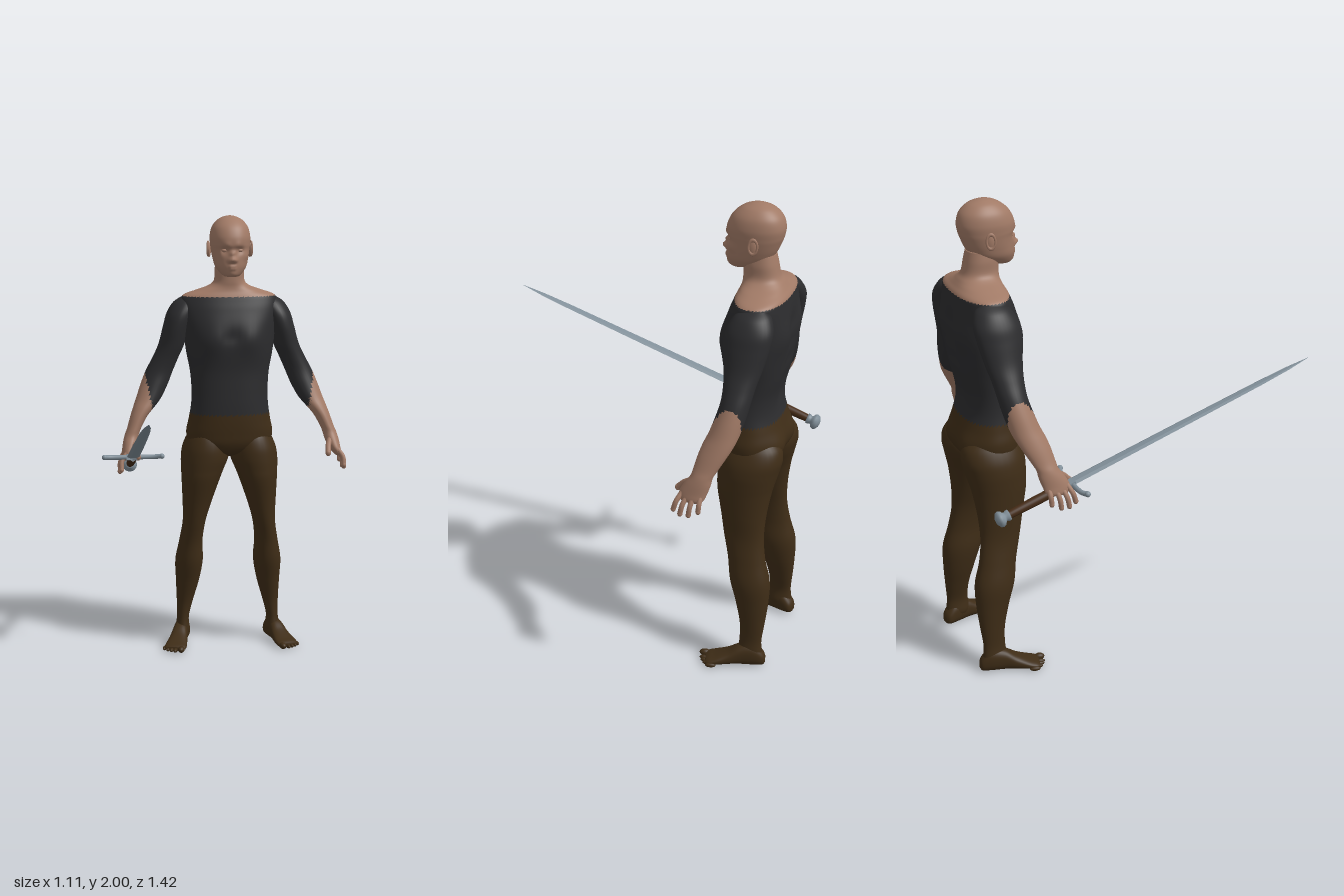
import * as THREE from 'three';

const CX = 0.035; // body's plane of symmetry
const mat = (name, color) => Object.assign(new THREE.MeshStandardMaterial({ color }), { name });

// Smooth skin over elliptical cross-sections. Rows are [t, a0, a1, b0, b1]; map turns (a, t, b) into x, y, z.
// Bumps are [x, y, z, radius, dx, dy, dz]; pick chooses a material index for each face.
function loft(rows, { seg = 32, sub = 6, n = 2, map = (a, t, b) => [a, t, b], bumps = [], pick = () => 0 } = {}) {
  const rings = [];
  const cr = (p, q, r, s, u) =>
    0.5 * (2 * q + (r - p) * u + (2 * p - 5 * q + 4 * r - s) * u * u + (3 * q - p - 3 * r + s) * u * u * u);
  for (let i = 0; i < rows.length - 1; i++) {
    const [p, q, r, s] = [-1, 0, 1, 2].map((k) => rows[Math.min(Math.max(i + k, 0), rows.length - 1)]);
    for (let j = 0; j < sub; j++) rings.push(q.map((_, k) => cr(p[k], q[k], r[k], s[k], j / sub)));
  }
  rings.push(rows[rows.length - 1]);
  const pts = [];
  const pw = (v) => Math.sign(v) * Math.abs(v) ** (2 / n);
  const add = (a, t, b) => {
    const o = map(a, t, b), v = [...o];
    for (const [x, y, z, r, ...d] of bumps) {
      const w = Math.exp(-((o[0] - x) ** 2 + (o[1] - y) ** 2 + (o[2] - z) ** 2) / (r * r));
      for (let k = 0; k < 3; k++) v[k] += w * d[k];
    }
    pts.push(v);
  };
  for (const [t, a0, a1, b0, b1] of rings)
    for (let k = 0; k < seg; k++) {
      const w = (k / seg) * Math.PI * 2;
      add((a0 + a1) / 2 + ((a1 - a0) / 2) * pw(Math.cos(w)), t, (b0 + b1) / 2 + ((b1 - b0) / 2) * pw(Math.sin(w)));
    }
  const ends = [rings[0], rings[rings.length - 1]];
  for (const [t, a0, a1, b0, b1] of ends) add((a0 + a1) / 2, t, (b0 + b1) / 2);
  const faces = [], N = rings.length * seg, last = N - seg;
  for (let k = 0; k < seg; k++) {
    const m = (k + 1) % seg;
    for (let i = 0; i < rings.length - 1; i++) {
      const a = i * seg + k, b = i * seg + m;
      faces.push([a, a + seg, b], [b, a + seg, b + seg]);
    }
    faces.push([N, k, m], [N + 1, last + m, last + k]);
  }
  // Turn the faces outward
  const V = pts.map((p) => new THREE.Vector3(...p)), c = V[N];
  let vol = 0;
  for (const [a, b, d] of faces)
    vol += V[a].clone().sub(c).dot(V[b].clone().sub(c).cross(V[d].clone().sub(c)));
  const groups = [[], [], []];
  for (const [a, b, d] of faces) {
    const mid = V[a].clone().add(V[b]).add(V[d]).divideScalar(3);
    groups[pick(mid.x, mid.y, mid.z)].push(...(vol < 0 ? [a, d, b] : [a, b, d]));
  }
  const g = new THREE.BufferGeometry().setFromPoints(V);
  g.setIndex(groups.flat());
  let start = 0;
  groups.forEach((l, i) => { if (l.length) g.addGroup(start, l.length, i); start += l.length; });
  g.computeVertexNormals();
  return g;
}

export function createModel() {
  const model = new THREE.Group();
  const skin = mat('skin', 0xa17a66), shirt = mat('shirt', 0x2c2c2e), trousers = mat('trousers', 0x3f2d17);
  const steel = mat('steel', 0x82909a), leather = mat('leather', 0x452b16);
  const cloth = [skin, shirt, trousers];
  const part = (parent, name, geo, material) => {
    const m = new THREE.Mesh(geo, material);
    m.name = name;
    parent.add(m);
    return m;
  };
  const both = (list) => list.flatMap(([x, ...r]) => [[CX + x, ...r], [CX - x, ...r]]);
  const ball = (parent, name, material, p, scale) => {
    const m = part(parent, name, new THREE.SphereGeometry(1, 20, 14), material);
    m.position.set(...p);
    m.scale.set(...scale);
    return m;
  };
  const centred = (rows) => rows.map(([y, w, zb, zf]) => [y, CX - w, CX + w, zb, zf]);

  // Torso and neck
  part(model, 'torso', loft(centred([
    [0.905, 0.04, -0.61, -0.53], [0.93, 0.12, -0.66, -0.47], [0.97, 0.185, -0.68, -0.445], [1.02, 0.198, -0.685, -0.437],
    [1.08, 0.187, -0.675, -0.432], [1.15, 0.176, -0.66, -0.43], [1.22, 0.174, -0.662, -0.43], [1.3, 0.18, -0.68, -0.43],
    [1.38, 0.195, -0.692, -0.425], [1.45, 0.205, -0.697, -0.427], [1.52, 0.213, -0.695, -0.433], [1.58, 0.222, -0.69, -0.45],
    [1.62, 0.22, -0.685, -0.465], [1.645, 0.205, -0.68, -0.475], [1.665, 0.15, -0.665, -0.483], [1.685, 0.095, -0.65, -0.486],
    [1.71, 0.069, -0.632, -0.485], [1.76, 0.066, -0.62, -0.485], [1.8, 0.06, -0.61, -0.49],
  ]), {
    seg: 56, n: 2.3,
    bumps: [
      ...both([[0.085, 1.45, -0.43, 0.065, 0, 0, 0.017], [0.1, 1.5, -0.69, 0.07, 0, 0, -0.014], [0.09, 0.99, -0.68, 0.07, 0, 0, -0.022]]),
      ...[1.2, 1.28, 1.36, 1.44, 1.52].map((y) => [CX, y, -0.69, 0.045, 0, 0, 0.012]),
      [CX, 1.46, -0.43, 0.03, 0, 0, -0.008],
    ],
    pick: (x, y) => (y > 1.64 ? 0 : y > 1.11 ? 1 : 2),
  }), cloth);

  // Head with modelled face
  const head = new THREE.Group();
  head.name = 'head';
  model.add(head);
  part(head, 'skullAndFace', loft(centred([
    [1.733, 0.03, -0.5, -0.43], [1.745, 0.047, -0.54, -0.42], [1.775, 0.069, -0.59, -0.413], [1.81, 0.079, -0.615, -0.414],
    [1.85, 0.086, -0.632, -0.416], [1.875, 0.089, -0.64, -0.411], [1.91, 0.09, -0.644, -0.414], [1.95, 0.08, -0.632, -0.434],
    [1.98, 0.056, -0.602, -0.468], [1.995, 0.028, -0.567, -0.503], [2, 0.004, -0.539, -0.531],
  ]), {
    seg: 72, sub: 8, n: 2.15,
    bumps: [
      [CX, 1.81, -0.412, 0.014, 0, 0, 0.023], [CX, 1.836, -0.414, 0.011, 0, 0, 0.013],
      [CX, 1.792, -0.412, 0.009, 0, 0, -0.004], [CX, 1.745, -0.418, 0.02, 0, 0, 0.006],
      ...both([
        [0.034, 1.85, -0.424, 0.017, 0, 0, -0.011], [0.025, 1.874, -0.414, 0.015, 0, 0, 0.004], [0.014, 1.805, -0.414, 0.008, 0, 0, 0.008],
        [0.008, 1.78, -0.413, 0.007, 0, 0, 0.006], [0.008, 1.768, -0.413, 0.007, 0, 0, 0.006],
        [0.058, 1.825, -0.45, 0.02, 0.003, 0, 0.004],
      ]),
    ],
  }), skin);

  // Foot frame: t runs from heel to toes, turned slightly outward
  const turn = 0.27;
  const footMap = (s) => (a, t, h) => [
    CX + s * (0.235 - CX + a * Math.cos(turn) + t * Math.sin(turn)), h, -0.703 + t * Math.cos(turn) - a * Math.sin(turn),
  ];

  for (const s of [1, -1]) {
    const side = s > 0 ? 'left' : 'right';
    const mx = (x) => CX + s * (x - CX);
    const mirror = (a, t, b) => [mx(a), t, b];

    ball(head, side + 'Eyelid', skin, [CX + s * 0.033, 1.849, -0.438], [0.015, 0.009, 0.011]);
    const ear = ball(head, side + 'Ear', skin, [CX + s * 0.092, 1.848, -0.543], [0.008, 0.034, 0.018]);
    ear.rotation.y = s * 0.25;
    const rim = part(head, side + 'EarRim', new THREE.TorusGeometry(0.017, 0.0045, 8, 24), skin);
    rim.position.set(CX + s * 0.097, 1.852, -0.545);
    rim.rotation.y = Math.PI / 2 + s * 0.25;
    rim.scale.set(1, 1.7, 1);

    // Arm running from shoulder into the palm
    const arm = new THREE.Group();
    arm.name = side + 'Arm';
    model.add(arm);
    part(arm, side + 'SleeveAndForearm', loft([
      [1.637, 0.2, 0.245, -0.63, -0.55], [1.61, 0.17, 0.287, -0.66, -0.515], [1.56, 0.19, 0.318, -0.678, -0.49],
      [1.5, 0.215, 0.335, -0.672, -0.487], [1.42, 0.24, 0.357, -0.655, -0.5], [1.36, 0.267, 0.385, -0.64, -0.51],
      [1.3, 0.293, 0.417, -0.63, -0.512], [1.24, 0.318, 0.442, -0.62, -0.5], [1.18, 0.35, 0.463, -0.606, -0.483],
      [1.14, 0.383, 0.478, -0.592, -0.468], [1.1, 0.417, 0.492, -0.572, -0.457], [1.05, 0.445, 0.508, -0.545, -0.447],
      [1.02, 0.457, 0.52, -0.53, -0.44], [0.99, 0.465, 0.528, -0.525, -0.42], [0.955, 0.48, 0.534, -0.515, -0.402],
      [0.93, 0.497, 0.538, -0.505, -0.404], [0.918, 0.51, 0.535, -0.49, -0.415],
    ], { map: mirror, pick: (x, y) => (y < 1.32 && mx(x) > 0.385 + 0.2 * (y - 1.11) ? 0 : 1) }), cloth);

    // Four fingers and a thumb, slightly spread
    const digits = [
      [[0.515, 0.95, -0.415], [0.538, 0.915, -0.398], [0.54, 0.88, -0.388]],
      [[0.518, 0.945, -0.44], [0.542, 0.905, -0.425], [0.546, 0.868, -0.418]],
      [[0.518, 0.945, -0.465], [0.542, 0.905, -0.457], [0.544, 0.868, -0.452]],
      [[0.515, 0.95, -0.492], [0.535, 0.918, -0.492], [0.538, 0.888, -0.49]],
      [[0.485, 0.995, -0.445], [0.47, 0.965, -0.405], [0.466, 0.938, -0.38]],
    ];
    digits.forEach((pts, i) => {
      const r = i === 4 ? 0.0125 : 0.0105;
      const path = new THREE.CatmullRomCurve3(pts.map(([x, y, z]) => new THREE.Vector3(mx(x), y, z)));
      const name = side + (i === 4 ? 'Thumb' : 'Finger' + (i + 1));
      part(arm, name, new THREE.TubeGeometry(path, 10, r, 10), skin);
      ball(arm, name + 'Tip', skin, [mx(pts[2][0]), pts[2][1], pts[2][2]], [r, r * 1.2, r]);
    });

    // Leg
    const leg = new THREE.Group();
    leg.name = side + 'Leg';
    model.add(leg);
    part(leg, side + 'TrouserLeg', loft([
      [1.04, 0.08, 0.2, -0.66, -0.48], [1, 0.05, 0.228, -0.697, -0.455], [0.95, 0.037, 0.25, -0.707, -0.442],
      [0.9, 0.04, 0.258, -0.698, -0.44], [0.85, 0.06, 0.258, -0.686, -0.443], [0.8, 0.08, 0.256, -0.675, -0.448],
      [0.7, 0.115, 0.252, -0.662, -0.47], [0.6, 0.145, 0.25, -0.66, -0.49], [0.5, 0.158, 0.265, -0.675, -0.515],
      [0.4, 0.155, 0.283, -0.7, -0.53], [0.3, 0.172, 0.28, -0.7, -0.56], [0.2, 0.2, 0.276, -0.692, -0.585],
      [0.12, 0.22, 0.275, -0.685, -0.59], [0.06, 0.216, 0.283, -0.69, -0.585], [0.03, 0.225, 0.275, -0.68, -0.6],
    ], { map: mirror, n: 2.1 }), trousers);

    // Foot and toes
    part(leg, side + 'Foot', loft([
      [0, -0.012, 0.012, 0.015, 0.04], [0.012, -0.028, 0.028, 0.003, 0.065], [0.05, -0.035, 0.035, 0, 0.1],
      [0.11, -0.036, 0.036, 0, 0.092], [0.16, -0.043, 0.042, 0, 0.062], [0.21, -0.05, 0.05, 0, 0.04],
      [0.24, -0.049, 0.05, 0, 0.03], [0.255, -0.04, 0.042, 0.005, 0.022],
    ], { map: footMap(s), n: 2.4 }), trousers);
    for (let i = 0; i < 5; i++) {
      const w = i ? 0.0095 : 0.015;
      const p = footMap(s)(i ? -0.028 + i * 0.0185 + 0.004 : -0.033, 0.26 - i * i * 0.0018, w);
      ball(leg, side + 'Toe' + (i + 1), trousers, p, [w, w, 0.023]).rotation.y = s * turn;
    }
  }

  // Sword, built along +z from the guard and then tilted up
  const sword = new THREE.Group();
  sword.name = 'sword';
  sword.position.set(-0.418, 0.938, -0.385);
  sword.rotation.x = -0.293;
  model.add(sword);
  const blade = loft([
    [0, -0.028, 0.028, -0.008, 0.008], [0.5, -0.025, 0.025, -0.007, 0.007], [0.9, -0.02, 0.02, -0.005, 0.005],
    [1.04, -0.014, 0.014, -0.004, 0.004], [1.143, -0.001, 0.001, -0.0005, 0.0005],
  ], { seg: 6, sub: 1, map: (a, t, b) => [a, b, t] }).toNonIndexed();
  blade.computeVertexNormals();
  part(sword, 'blade', blade, steel);
  const guardPath = new THREE.CatmullRomCurve3(
    [[-0.13, 0.016], [-0.1, 0.002], [0, 0], [0.1, 0.002], [0.13, 0.016]].map(([x, z]) => new THREE.Vector3(x, 0, z)));
  part(sword, 'crossGuard', new THREE.TubeGeometry(guardPath, 32, 0.0105, 10), steel);
  for (const s of [1, -1])
    ball(sword, 'guardEnd', steel, [s * 0.128, 0, 0.014], [0.012, 0.012, 0.012]);
  const block = part(sword, 'guardBlock', new THREE.BoxGeometry(0.06, 0.026, 0.028), steel);
  block.position.z = -0.002;
  const lathe = (name, profile, material) => {
    const g = new THREE.LatheGeometry(profile.map(([r, z]) => new THREE.Vector2(r, z)), 24);
    part(sword, name, g.rotateX(Math.PI / 2), material);
  };
  lathe('grip', [[0.016, -0.285], [0.018, -0.25], [0.02, -0.15], [0.018, -0.01]], leather);
  lathe('pommel', [[0, -0.338], [0.016, -0.336], [0.03, -0.327], [0.034, -0.317], [0.03, -0.307], [0.02, -0.3],
    [0.018, -0.294], [0.022, -0.288], [0.022, -0.278], [0, -0.276]], steel);
  return model;
}
